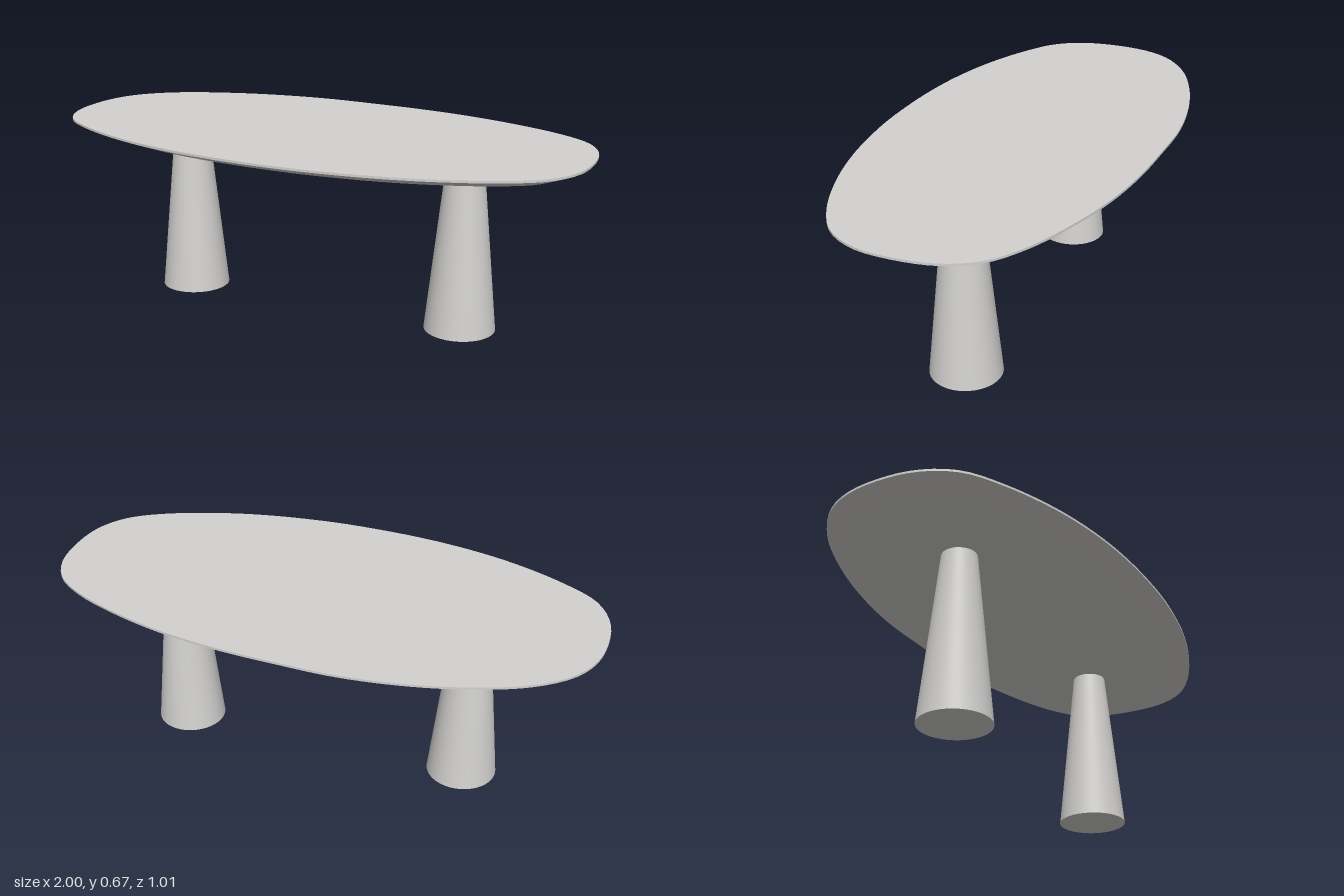
import * as THREE from 'three';
import { toCreasedNormals } from 'three/addons/utils/BufferGeometryUtils.js';

const SEGMENTS = 128;
const BOTTOM = 0.628, RIM = 0.66, TOP = 0.668, BEVEL = 0.078;

// Irregular pebble outline of the top, as x, z pairs
const OUTLINE = [
  [-1, 0], [-0.983, -0.155], [-0.925, -0.265], [-0.8, -0.365], [-0.6, -0.445], [-0.4, -0.49],
  [-0.2, -0.509], [0, -0.502], [0.2, -0.488], [0.4, -0.457], [0.6, -0.402], [0.8, -0.32],
  [0.92, -0.235], [0.98, -0.13], [1, 0], [0.985, 0.155], [0.92, 0.268], [0.8, 0.35],
  [0.6, 0.428], [0.4, 0.475], [0.2, 0.498], [0.05, 0.503], [-0.2, 0.489], [-0.4, 0.457],
  [-0.6, 0.4], [-0.8, 0.309], [-0.92, 0.225], [-0.98, 0.12],
];

// Slab with an undercut bevel, lofted through three rings
function tabletopGeometry() {
  const curve = new THREE.CatmullRomCurve3(OUTLINE.map(([x, z]) => new THREE.Vector3(x, 0, z)), true);
  const ring = (y, inset) => Array.from({ length: SEGMENTS }, (_, i) => {
    const p = curve.getPointAt(i / SEGMENTS);
    const t = curve.getTangentAt(i / SEGMENTS);
    return new THREE.Vector3(p.x - t.z * inset, y, p.z + t.x * inset);
  });
  const rings = [ring(BOTTOM, BEVEL), ring(RIM, 0), ring(TOP, 0)];
  const low = new THREE.Vector3(0, BOTTOM, 0);
  const high = new THREE.Vector3(0, TOP, 0);
  const corners = [];
  for (let i = 0; i < SEGMENTS; i++) {
    const j = (i + 1) % SEGMENTS;
    for (let k = 0; k < 2; k++) {
      const a = rings[k][i], b = rings[k][j], c = rings[k + 1][j], d = rings[k + 1][i];
      corners.push(b, a, d, b, d, c);
    }
    corners.push(high, rings[2][j], rings[2][i], low, rings[0][i], rings[0][j]);
  }
  return toCreasedNormals(new THREE.BufferGeometry().setFromPoints(corners), 0.35);
}

export function createModel() {
  const model = new THREE.Group();
  model.name = 'table';
  const stone = new THREE.MeshStandardMaterial({ color: 0xd2d1cf });
  stone.name = 'pale grey';

  const top = new THREE.Mesh(tabletopGeometry(), stone);
  top.name = 'tabletop';
  model.add(top);

  // Two tapered round legs
  const legGeometry = new THREE.CylinderGeometry(0.064, 0.128, BOTTOM, 64);
  for (const [name, x] of [['leftLeg', 0.557], ['rightLeg', -0.537]]) {
    const leg = new THREE.Mesh(legGeometry, stone);
    leg.name = name;
    leg.position.set(x, BOTTOM / 2, 0);
    model.add(leg);
  }
  return model;
}
